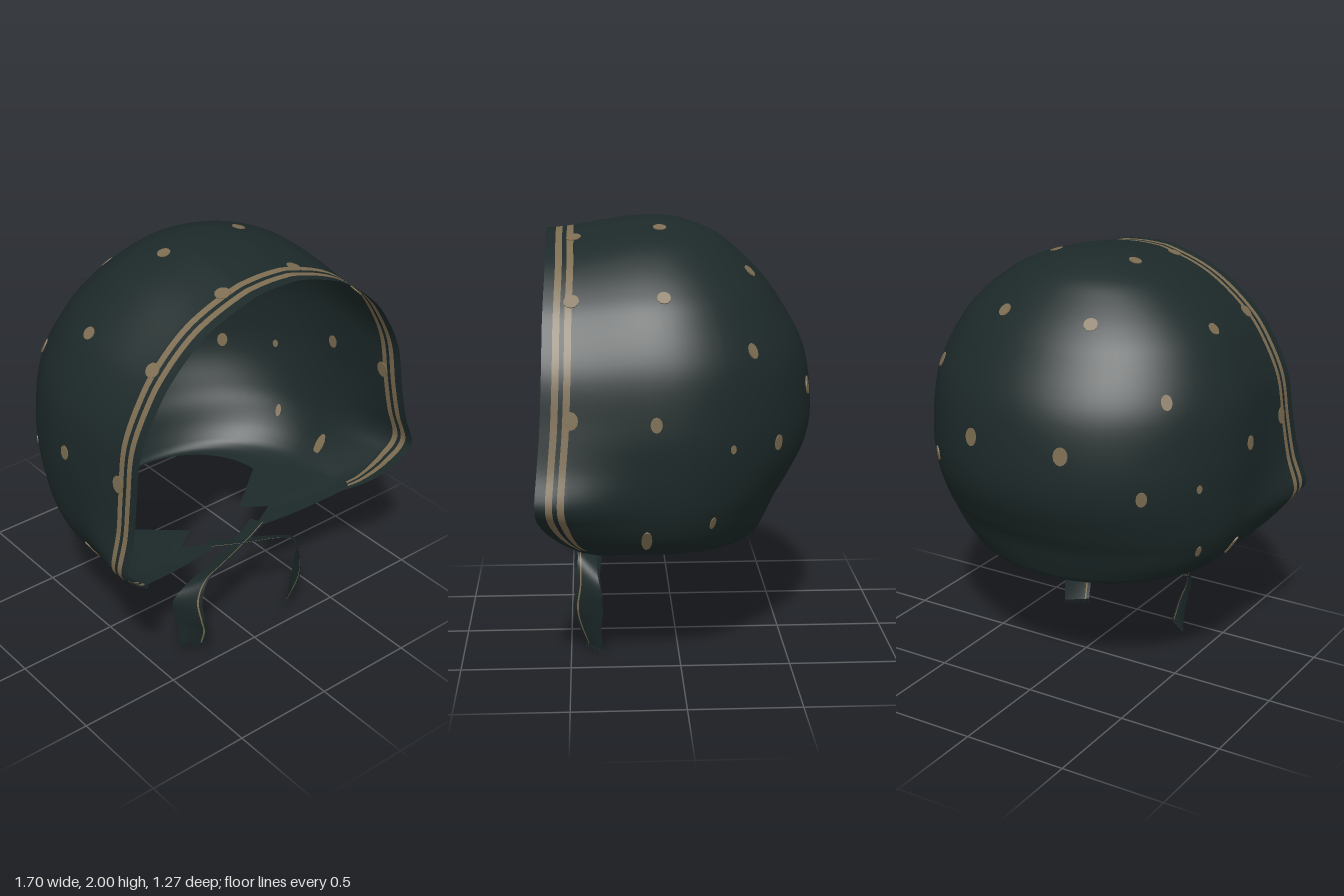
import * as THREE from 'three';

const cloth = new THREE.MeshStandardMaterial({ color: 0x1d2929, side: THREE.DoubleSide });
cloth.name = 'darkCloth';
const gold = new THREE.MeshStandardMaterial({ color: 0x7c6c51, side: THREE.DoubleSide });
gold.name = 'dullGold';

// Hood levels from crown to hem: height, half width, rim half width, back z, rim z
const LEVELS = [
  [2.0, 0, 0, 0.1, 0.59], [1.996, 0.08, 0.075, 0.03, 0.59], [1.985, 0.155, 0.145, -0.04, 0.59],
  [1.93, 0.327, 0.3, -0.175, 0.59], [1.86, 0.45, 0.425, -0.27, 0.59], [1.75, 0.58, 0.55, -0.385, 0.595],
  [1.63, 0.675, 0.642, -0.475, 0.6], [1.42, 0.768, 0.74, -0.59, 0.605], [1.18, 0.795, 0.775, -0.63, 0.615],
  [1.0, 0.79, 0.805, -0.615, 0.63], [0.84, 0.77, 0.85, -0.54, 0.64], [0.74, 0.74, 0.79, -0.48, 0.615],
  [0.65, 0.69, 0.71, -0.44, 0.54], [0.575, 0.62, 0.63, -0.405, 0.44],
];
const body = new THREE.CatmullRomCurve3(LEVELS.map(l => new THREE.Vector3(l[1], l[0], l[3])), false, 'catmullrom');
const rim = new THREE.CatmullRomCurve3(LEVELS.map(l => new THREE.Vector3(l[2], 0, l[4])), false, 'catmullrom');
const SIDE_Z = 0.1;
const EDGE = 0.145;
const { lerp, smoothstep } = THREE.MathUtils;

// Half columns from the middle of the back (arc), along the side, to the rim bands
const half = [];
for (let i = 0; i <= 18; i++) half.push({ arc: (i / 18) * Math.PI / 2, c: 0.69 * i / 18 });
for (let i = 1; i <= 8; i++) half.push({ t: i / 8, c: 0.69 + 0.2 * i / 8 });
for (const d of [0.125, 0.095, 0.075, 0.045, 0]) half.push({ d, c: 1 - 0.11 * d / EDGE });
const columns = [
  ...half.slice(1).reverse().map(h => ({ ...h, sign: -1 })),
  ...half.map(h => ({ ...h, sign: 1 })),
];

// Point of the hood at level v (0 crown, 1 hem) on one column
function hoodPoint(v, col) {
  const b = body.getPoint(v), r = rim.getPoint(v);
  const bandScale = 1 - 0.6 * smoothstep(v, 0.82, 1);
  let x, z;
  if (col.arc !== undefined) {
    x = b.x * Math.sin(col.arc);
    z = SIDE_Z - (SIDE_Z - b.z) * Math.cos(col.arc);
  } else {
    z = col.d !== undefined ? r.z - col.d * bandScale : lerp(SIDE_Z, r.z - EDGE * bandScale, col.t);
    const k = (z - SIDE_Z) / (r.z - SIDE_Z);
    // The rim flares at the cheek and tucks in again at its lower corner
    const tuck = 0.04 * (1 - smoothstep(b.y, 0.72, 0.86));
    x = lerp(b.x, r.x, smoothstep(k, 0, 0.95)) - tuck * smoothstep(k, 0.75, 1);
  }
  const drop = 0.07 * smoothstep(z, 0.13, 0.6);
  const y = b.y > 1.2 ? 1.2 + (b.y - 1.2) * (1 - drop) : b.y;
  return new THREE.Vector3(col.sign * Math.max(x, 0), y, z);
}

// Neck opening beyond its round back: side, pointed flap tip, notch, tie end (c, x, z)
const OPENING = [[0.69, 0.42, -0.02], [0.84, 0.15, 0.19], [0.905, 0.27, 0.27], [1, 0.1, 0.36]];

function openingPoint(c) {
  if (c <= OPENING[0][0]) {
    const th = Math.PI - (c / OPENING[0][0]) * 1.52;
    return [0.42 * Math.sin(th), 0.37 * Math.cos(th)];
  }
  const i = Math.max(1, OPENING.findIndex(p => p[0] >= c - 1e-6));
  const [a, b] = [OPENING[i - 1], OPENING[i]], k = (c - a[0]) / (b[0] - a[0]);
  return [lerp(a[1], b[1], k), lerp(a[2], b[2], k)];
}

// Under-flap point: from the hem (h = 0) in to the neck opening (h = 1)
function flapPoint(h, col) {
  const [x, z] = openingPoint(col.c);
  const p = hoodPoint(1, col).lerp(new THREE.Vector3(col.sign * x, 0.555 - 0.025 * col.c, z), h);
  p.y -= 0.012 * Math.sin(Math.PI * h);
  return p;
}

// Grid surface; isGold(row, column) picks the colour of each cell
function grid(rows, isGold) {
  const n = rows[0].length, pos = [], parts = [[], []];
  rows.forEach(r => r.forEach(p => pos.push(p.x, p.y, p.z)));
  for (let i = 0; i < rows.length - 1; i++) for (let j = 0; j < n - 1; j++) {
    const a = i * n + j, b = a + n;
    parts[isGold(i, j) ? 1 : 0].push(a, a + 1, b, a + 1, b + 1, b);
  }
  const g = new THREE.BufferGeometry();
  g.setAttribute('position', new THREE.Float32BufferAttribute(pos, 3));
  g.setIndex([...parts[0], ...parts[1]]);
  g.addGroup(0, parts[0].length, 0);
  g.addGroup(parts[0].length, parts[1].length, 1);
  g.computeVertexNormals();
  return g;
}

function named(mesh, name) {
  mesh.name = name;
  return mesh;
}

// Hood shell with two gold bands round the rim
function makeHood() {
  const rows = [], steps = 78, flapSteps = 6;
  for (let i = 0; i <= steps; i++) rows.push(columns.map(c => hoodPoint(i / steps, c)));
  for (let i = 1; i <= flapSteps; i++) rows.push(columns.map(c => flapPoint(i / flapSteps, c)));
  const last = columns.length - 2;
  const g = grid(rows, (i, j) => {
    const k = Math.min(j, last - j);
    return i < steps - 2 && (k === 1 || k === 3);
  });
  // Smooth the crown seam
  const nor = g.attributes.normal;
  for (let j = 0; j < columns.length; j++) nor.setXYZ(j, 0, 1, 0);
  return named(new THREE.Mesh(g, [cloth, gold]), 'hood');
}

// Spots that sit on the hood and show on both faces: x, y, z, width, height
const SPOTS = [
  [0.235, 1.25, -0.59, 0.034, 0.042], [0.235, 1.8, -0.35, 0.032, 0.032], [0.6, 1.48, -0.31, 0.026, 0.036],
  [0.54, 1.06, -0.42, 0.026, 0.036], [0.73, 1.07, -0.22, 0.014, 0.02], [0.61, 1.71, 0.08, 0.03, 0.03],
  [0.21, 1.97, 0.08, 0.03, 0.03], [0.79, 1.2, 0.12, 0.026, 0.034], [0.7, 0.66, 0.16, 0.024, 0.058],
  [0.66, 0.74, -0.12, 0.014, 0.032],
  [0.2, 1.93, 0.465, 0.034, 0.034], [0.58, 1.7, 0.475, 0.034, 0.034], [0.79, 1.22, 0.485, 0.034, 0.04],
];

function makeSpots(hood) {
  const group = new THREE.Group();
  group.name = 'spots';
  const P = hood.geometry.attributes.position, N = hood.geometry.attributes.normal;
  const disc = new THREE.CylinderGeometry(1, 1, 0.007, 12).rotateX(Math.PI / 2);
  for (const [x, y, z, w, h] of SPOTS) for (const s of [-1, 1]) {
    const p = new THREE.Vector3(s * x, y, z), q = new THREE.Vector3();
    let best = 0, dist = Infinity;
    for (let i = 0; i < P.count; i++) {
      const d = q.fromBufferAttribute(P, i).distanceToSquared(p);
      if (d < dist) { dist = d; best = i; }
    }
    // Drop the spot onto the local tangent plane
    const n = new THREE.Vector3().fromBufferAttribute(N, best);
    q.fromBufferAttribute(P, best);
    p.addScaledVector(n, -p.clone().sub(q).dot(n));
    const m = named(new THREE.Mesh(disc, gold), 'spot');
    m.position.copy(p);
    m.lookAt(p.clone().add(n));
    m.scale.set(w, h, 1);
    group.add(m);
  }
  return group;
}

// Ribbon tie: centre points and half-width vectors; it starts at one flap and crosses over
const TIE = [
  [[0.15, 0.533, 0.33], [0.01, 0.006, 0.04]], [[0, 0.512, 0.38], [0.012, 0.014, 0.04]],
  [[-0.17, 0.485, 0.42], [0.01, 0.022, 0.045]], [[-0.29, 0.43, 0.42], [0.03, 0.026, 0.045]],
  [[-0.345, 0.34, 0.415], [0.042, 0.01, 0.055]], [[-0.335, 0.24, 0.42], [0.042, 0, 0.068]],
  [[-0.31, 0.15, 0.415], [0.046, 0, 0.055]], [[-0.3, 0.05, 0.39], [0.05, 0, 0.038]],
];

function makeTie(side, lower, name) {
  const group = new THREE.Group();
  group.name = name;
  const vec = a => new THREE.Vector3(a[0] * side, a[1], a[2]);
  const mid = new THREE.CatmullRomCurve3(TIE.map(t => vec(t[0])), false, 'catmullrom');
  const wid = new THREE.CatmullRomCurve3(TIE.map(t => vec(t[1])), false, 'catmullrom');
  const across = [-1, -0.3, 0.3, 0.64, 0.76, 1], rows = [];
  for (let i = 0; i <= 48; i++) {
    const c = mid.getPoint(i / 48), w = wid.getPoint(i / 48);
    c.y -= lower * i / 48;
    rows.push(across.map(k => c.clone().addScaledVector(w, k)));
  }
  group.add(named(new THREE.Mesh(grid(rows, (i, j) => j === 3), [cloth, gold]), 'ribbon'));
  // Frayed threads at the end
  const end = rows[48];
  for (let i = 0; i <= 10; i++) {
    const len = 0.018 + 0.008 * (i % 3) / 2;
    const t = named(new THREE.Mesh(new THREE.BoxGeometry(0.004, len, 0.004), cloth), 'thread');
    t.position.lerpVectors(end[0], end[5], i / 10);
    t.position.y -= len / 2;
    group.add(t);
  }
  return group;
}

export function createModel() {
  const model = new THREE.Group();
  model.name = 'bonnet';
  const hood = makeHood();
  model.add(hood, makeSpots(hood));
  model.add(makeTie(1, 0, 'rightTie'), makeTie(-1, 0.024, 'leftTie'));
  return model;
}
